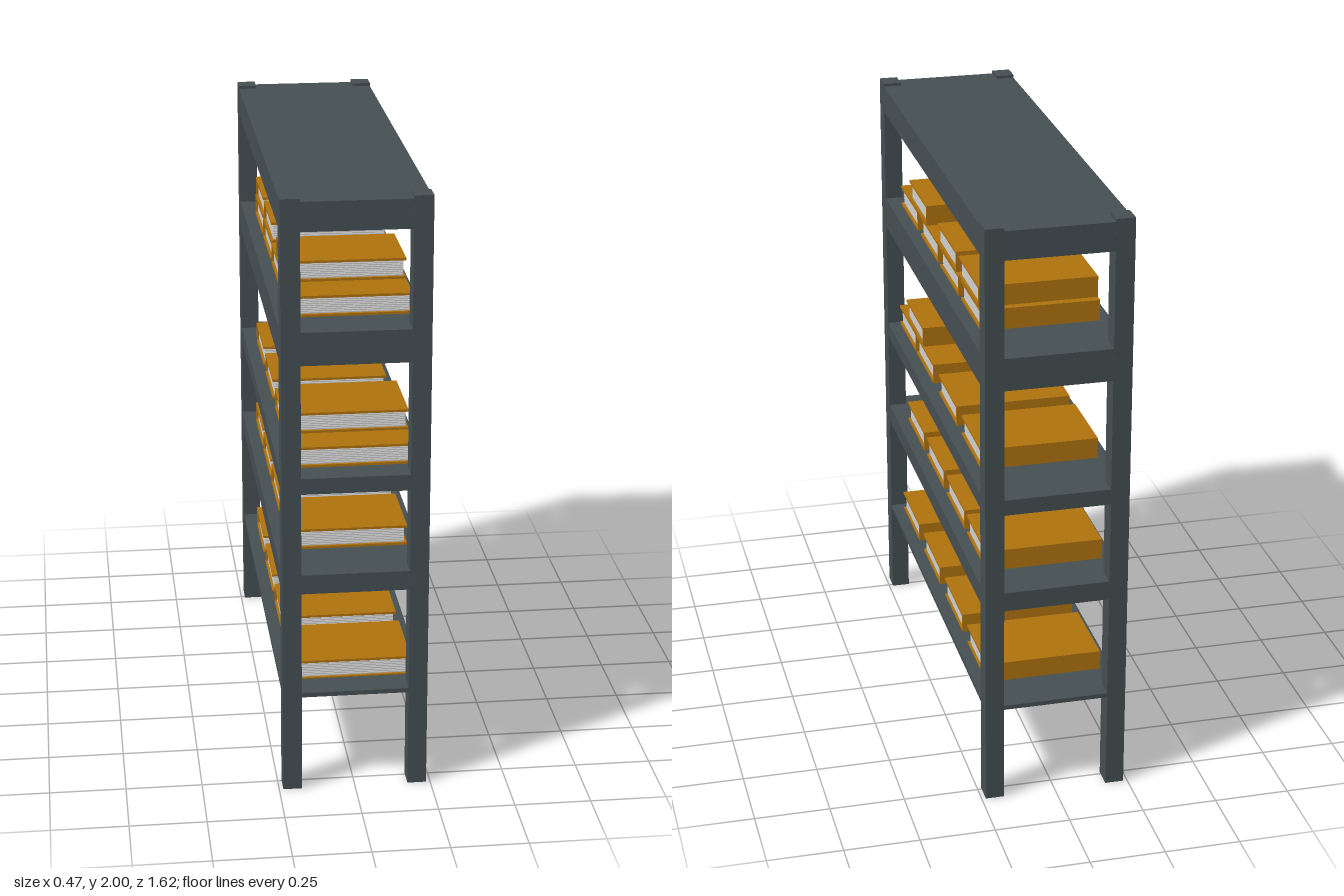
import * as THREE from 'three';

const slate = new THREE.MeshStandardMaterial({ color: 0x465053 });
const leather = new THREE.MeshStandardMaterial({ color: 0xb0730e });
const paper = new THREE.MeshStandardMaterial({ color: 0xcccccc });

const W = 0.473, D = 1.62;                  // rack footprint (x, z)
const POST_X = 0.062, POST_Z = 0.07;        // post section
const BOOK = { w: 0.39, h: 0.07, len: 0.283, cover: 0.008, sheets: 9 };

function box(name, material, size, position) {
  const mesh = new THREE.Mesh(new THREE.BoxGeometry(...size), material);
  mesh.name = name;
  mesh.position.set(...position);
  return mesh;
}

// A book lying flat: origin at the bottom of its spine, pages open towards +z
function createBook() {
  const { w, h, len, cover, sheets } = BOOK;
  const book = new THREE.Group();
  book.name = 'book';
  book.add(box('bottomCover', leather, [w, cover, len - 0.004], [0, cover / 2, len / 2 - 0.002]));
  book.add(box('topCover', leather, [w, cover, len], [0, h - cover / 2, len / 2]));
  book.add(box('spine', leather, [w, h - 2 * cover, cover], [0, h / 2, cover / 2]));

  // Separate sheets with fine gaps between them
  const pitch = (h - 2 * cover) / sheets;
  for (let i = 0; i < sheets; i++) {
    const y = cover + (i + 0.5) * pitch;
    book.add(box('page', paper, [w - 0.016, pitch * 0.7, len - cover - 0.012],
      [0, y, cover + (len - cover - 0.012) / 2]));
  }
  return book;
}

export function createModel() {
  const model = new THREE.Group();
  model.name = 'bookRack';

  // Four corner posts
  for (const sx of [-1, 1]) {
    for (const sz of [-1, 1]) {
      model.add(box('post', slate, [POST_X, 2, POST_Z],
        [sx * (W - POST_X) / 2, 1, sz * (D - POST_Z) / 2]));
    }
  }

  // Shelves as [bottom, top], a hair inside the post faces
  const shelves = [[0.33, 0.345], [0.695, 0.76], [1.037, 1.09], [1.465, 1.573], [1.895, 1.99]];
  for (const [y0, y1] of shelves) {
    model.add(box('shelf', slate, [W - 0.002, y1 - y0, D - 0.002], [0, (y0 + y1) / 2, 0]));
  }

  // Rows of books: base height and the z of each spine
  const rows = [
    [0.341, [0.425, 0.07, -0.29, -0.645]],
    [0.76, [0.315, -0.01, -0.333, -0.645]],
    [1.093, [0.44, 0.145, -0.222, -0.575]],
    [1.163, [0.315]],
    [1.575, [0.378, 0.05, -0.263, -0.575]],
    [1.645, [0.23, -0.227, -0.548]],
  ];
  for (const [y, spines] of rows) {
    for (const z of spines) {
      const book = createBook();
      book.position.set(0, y, z);
      model.add(book);
    }
  }
  return model;
}
